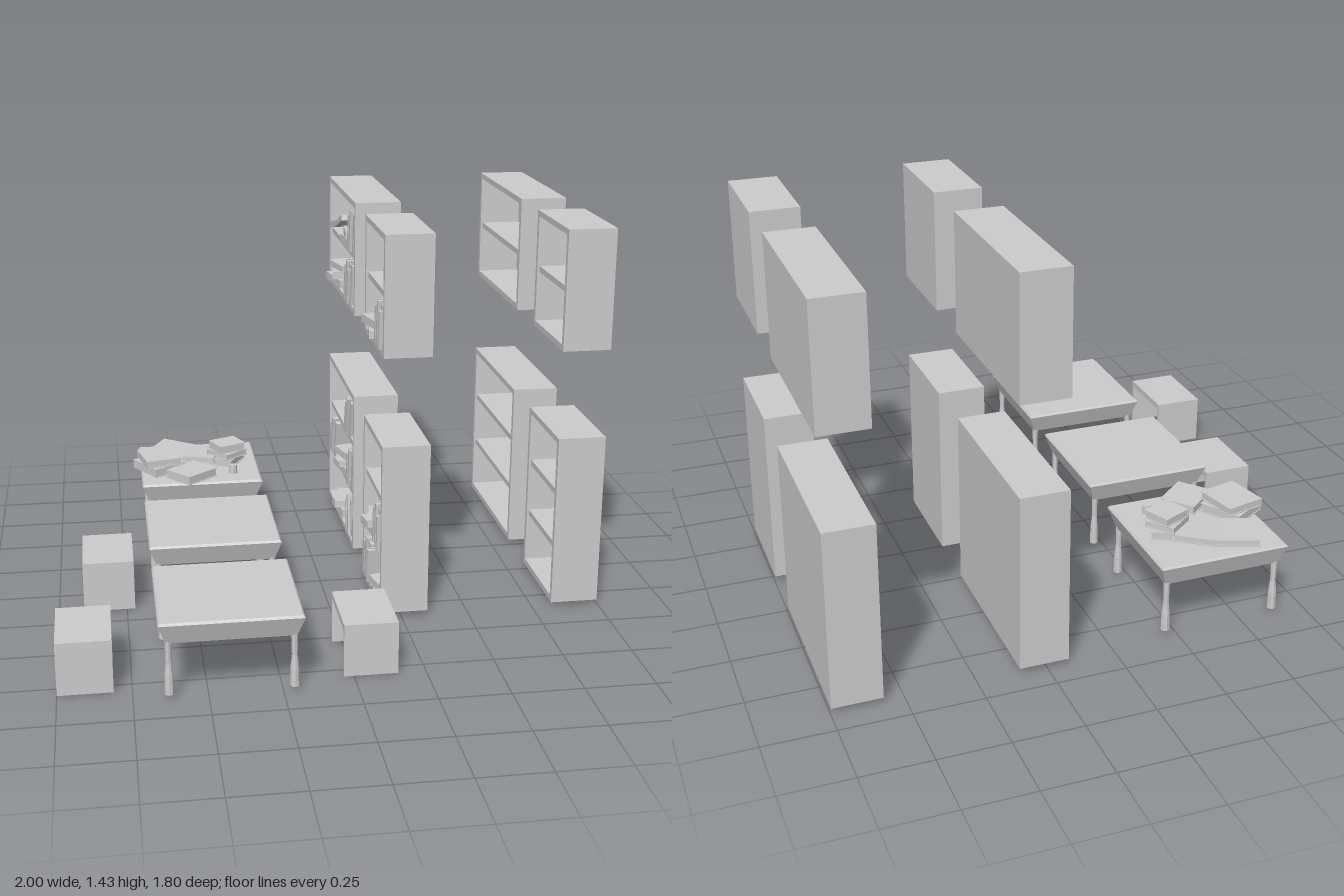
import * as THREE from 'three';

const mat = new THREE.MeshStandardMaterial({ color: 0xcccccc, flatShading: true });

function mesh(name, geo, x = 0, y = 0, z = 0) {
  const m = new THREE.Mesh(geo, mat);
  m.name = name;
  m.position.set(x, y, z);
  return m;
}
const box = (name, w, h, d, x, y, z) => mesh(name, new THREE.BoxGeometry(w, h, d), x, y, z);

function group(name, ...parts) {
  const g = new THREE.Group();
  g.name = name;
  if (parts.length) g.add(...parts);
  return g;
}

// Square frustum standing on y = 0
function frustum(name, halfBottom, halfTop, h, y) {
  const geo = new THREE.CylinderGeometry(halfTop * Math.SQRT2, halfBottom * Math.SQRT2, h, 4);
  geo.rotateY(Math.PI / 4);
  return mesh(name, geo, 0, y + h / 2, 0);
}

// Table: flared top with a bevelled rim on four turned legs
function table(x, z) {
  const g = group('table',
    frustum('tableApron', 0.217, 0.242, 0.072, 0.203),
    frustum('tableRim', 0.242, 0.236, 0.008, 0.275));
  const profile = [[0, 0.017], [0.0165, 0.017], [0.015, 0.08], [0.01, 0.13], [0.012, 0.21]]
    .map(([r, y]) => new THREE.Vector2(r, y));
  const legGeo = new THREE.LatheGeometry(profile, 8);
  for (const sx of [-1, 1]) for (const sz of [-1, 1])
    g.add(mesh('tableLeg', legGeo, sx * 0.209, 0, sz * 0.209));
  g.position.set(x, 0, z);
  return g;
}

// Bench: seat board on two end panels
function bench(x, z) {
  const g = group('bench',
    box('benchSeat', 0.188, 0.024, 0.28, 0, 0.178, 0),
    box('benchEnd', 0.188, 0.167, 0.012, 0, 0.0835, 0.134),
    box('benchEnd', 0.188, 0.167, 0.012, 0, 0.0835, -0.134));
  g.position.set(x, 0, z);
  return g;
}

// Bookcase open towards -x
function bookcase(x, y, z, h, w, bays) {
  const d = 0.176, t = 0.022;
  const g = group('bookcase', box('backPanel', 0.012, h, w, d / 2 - 0.006, h / 2, 0));
  for (const s of [-1, 1]) g.add(box('sidePanel', d, h, t, 0, h / 2, s * (w - t) / 2));
  for (let i = 0; i <= bays; i++) {
    const inset = i === 0 || i === bays ? 0 : 0.008;
    g.add(box('shelfBoard', d - inset, t, w - 2 * t, inset / 2, t / 2 + (i * (h - t)) / bays, 0));
  }
  g.position.set(x, y, z);
  return g;
}

// Closed book, centred: spine at -x, thickness along y, height along z
function book(w, t, h) {
  const c = 0.003;
  return group('book',
    box('cover', w, c, h, 0, (t - c) / 2, 0),
    box('cover', w, c, h, 0, (c - t) / 2, 0),
    box('spine', c, t, h, (c - w) / 2, 0, 0),
    box('pages', w - 0.006, t - 2 * c, h - 0.008, -0.001, 0, 0));
}

function flatBook(x, y, z, w, t, h, yaw) {
  const b = book(w, t, h);
  b.position.set(x, y + t / 2, z);
  b.rotation.y = yaw;
  return b;
}

// Stack of flat books, each [width, thickness, height, yaw]
function stack(x, y, z, list) {
  const g = group('bookStack');
  for (const [w, t, h, yaw] of list) {
    g.add(flatBook(x, y, z, w, t, h, yaw));
    y += t;
  }
  return g;
}

// Row of standing books, leaning by angle a towards +z
function row(y, z, count, a) {
  const g = group('bookRow');
  for (let i = 0; i < count; i++) {
    const t = 0.02 + 0.005 * (i % 3), h = 0.14 + 0.012 * ((i * 2) % 3), w = 0.12 + 0.008 * (i % 2);
    const b = book(w, t, h);
    b.rotation.x = -Math.PI / 2 + a;
    b.position.set(0.225 + 0.006 * (i % 3), y + (h * Math.cos(a) + t * Math.abs(Math.sin(a))) / 2,
      z + (h / 2) * Math.sin(a));
    g.add(b);
    z += t / Math.cos(a) + 0.006;
  }
  return g;
}

// Open book: two page halves sloping to a central fold along z
function openBook() {
  const g = group('openBook');
  for (const s of [-1, 1]) {
    const half = group('openHalf',
      box('cover', 0.156, 0.004, 0.17, s * 0.078, 0.002, 0),
      box('pages', 0.15, 0.02, 0.162, s * 0.076, 0.014, 0));
    half.rotation.z = s * 0.07;
    g.add(half);
  }
  return g;
}

export function createModel() {
  const model = group('readingRoom');

  // Tables and benches
  for (const z of [-0.64, 0.01, 0.658]) model.add(table(-0.421, z));
  for (const [x, z] of [[-0.814, 0.01], [-0.906, 0.66], [0.059, 0.66]]) model.add(bench(x, z));

  // Two ranks of bookcases, lower and upper
  for (const x of [0.26, 0.909]) for (const [z, w] of [[-0.582, 0.645], [0.163, 0.39]]) {
    model.add(bookcase(x, 0.017, z, 0.645, w, 3));
    model.add(bookcase(x, 0.99, z, 0.44, w, 2));
  }

  // Books on the rear table
  const top = 0.283;
  const open = openBook();
  open.position.set(-0.458, top, -0.735);
  open.rotation.y = -0.48;
  model.add(open,
    stack(-0.585, top, -0.59, [[0.15, 0.036, 0.165, 0.55], [0.15, 0.03, 0.165, 0.22]]),
    stack(-0.3, top, -0.645, [[0.1, 0.03, 0.14, -0.5], [0.12, 0.025, 0.12, -0.9], [0.115, 0.032, 0.105, 0.42]]),
    flatBook(-0.46, top, -0.475, 0.155, 0.035, 0.135, 0.7),
    mesh('inkPot', new THREE.CylinderGeometry(0.016, 0.018, 0.035, 8), -0.29, top + 0.0175, -0.5));

  // Books in the large lower bookcase
  model.add(
    row(0.247, -0.84, 3, 0.22),
    stack(0.235, 0.247, -0.58, [[0.14, 0.03, 0.17, 0.15], [0.13, 0.028, 0.15, -0.2], [0.13, 0.03, 0.14, 0.25]]),
    row(0.247, -0.4, 3, 0.15),
    stack(0.235, 0.039, -0.64, [[0.14, 0.035, 0.18, 0.1], [0.14, 0.03, 0.16, -0.25]]),
    row(0.039, -0.39, 3, -0.12),
    row(0.454, -0.46, 3, 0.25));

  // Books in the large upper bookcase
  const prop = openBook();
  prop.position.set(0.238, 1.27, -0.63);
  prop.rotation.set(0, -Math.PI / 2, 0.27);
  model.add(prop,
    stack(0.235, 1.221, -0.5, [[0.13, 0.035, 0.13, 0.15], [0.13, 0.03, 0.12, -0.1]]),
    row(1.221, -0.4, 3, 0.12),
    stack(0.235, 1.012, -0.74, [[0.15, 0.032, 0.19, 0.15], [0.14, 0.03, 0.17, -0.2], [0.13, 0.025, 0.15, 0.2]]),
    row(1.012, -0.48, 5, 0.18));

  // Books in the small lower bookcase
  model.add(
    stack(0.235, 0.247, 0.1, [[0.14, 0.032, 0.17, 0.15], [0.13, 0.03, 0.15, -0.2]]),
    row(0.247, 0.22, 4, 0.05),
    row(0.039, 0.02, 4, 0.15),
    stack(0.235, 0.039, 0.24, [[0.14, 0.03, 0.14, -0.1], [0.13, 0.03, 0.13, 0.2]]));

  // Books in the small upper bookcase
  model.add(
    stack(0.235, 1.012, 0.09, [[0.14, 0.03, 0.17, -0.15], [0.14, 0.03, 0.16, 0.2]]),
    row(1.012, 0.21, 4, 0.1));

  return model;
}
